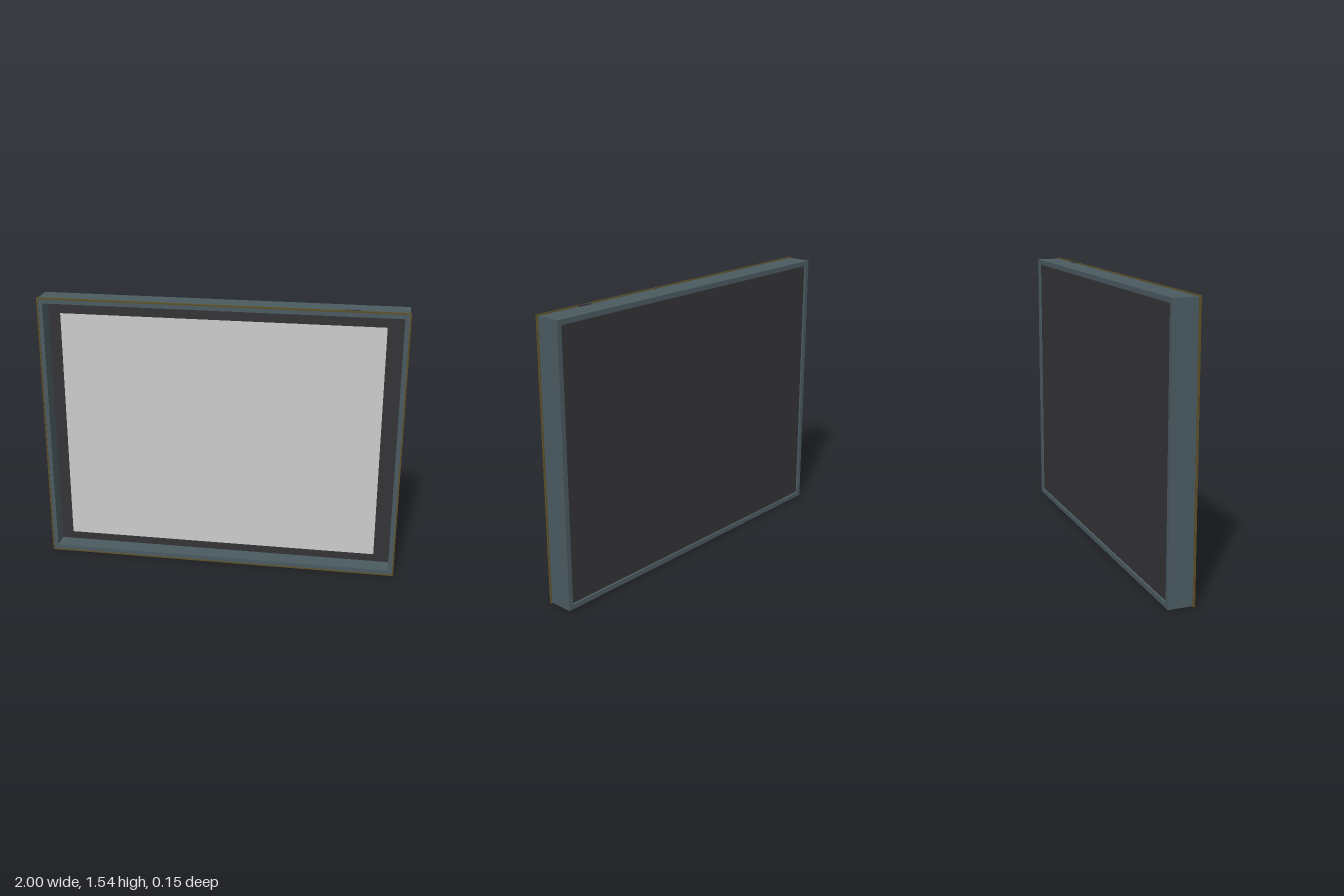
import * as THREE from 'three';

const W = 2, H = 1.537, CY = H / 2;

function material(color, side = THREE.FrontSide) {
  return new THREE.MeshStandardMaterial({ color, side });
}

function rectangle(target, w, h) {
  target.moveTo(-w / 2, -h / 2);
  target.lineTo(w / 2, -h / 2);
  target.lineTo(w / 2, h / 2);
  target.lineTo(-w / 2, h / 2);
  target.closePath();
  return target;
}

// Rectangular ring of the given border width, running from z0 to z1
function ring(w, h, border, z0, z1) {
  const shape = rectangle(new THREE.Shape(), w, h);
  shape.holes.push(rectangle(new THREE.Path(), w - 2 * border, h - 2 * border));
  const geometry = new THREE.ExtrudeGeometry(shape, { depth: z1 - z0, bevelEnabled: false });
  return geometry.translate(0, 0, z0);
}

export function createModel() {
  const group = new THREE.Group();
  const slate = material(0x4a5a60);
  const dark = material(0x343436);
  const olive = material(0x5c5028);

  function add(name, geometry, mat, x = 0, y = CY, z = 0) {
    const mesh = new THREE.Mesh(geometry, mat);
    mesh.name = name;
    mesh.position.set(x, y, z);
    group.add(mesh);
  }

  // Deep outer frame
  add('frame', ring(W - 0.008, H - 0.01, 0.027, -0.072, 0.071), slate);

  // Thin trim wrapped round the front edge
  add('frontTrim', ring(W, H, 0.008, 0.062, 0.074), olive);

  // Backing panel, slightly recessed at the rear
  add('backPanel', new THREE.BoxGeometry(W - 0.06, H - 0.06, 0.034), dark, 0, CY, -0.044);

  // Pale display sheet standing in front of the backing
  add('displaySheet', new THREE.PlaneGeometry(1.77, 1.34),
    material(0xcccccc, THREE.DoubleSide), -0.003, 0.77, 0.017);

  // Small catch on the top edge
  add('topCatch', new THREE.BoxGeometry(0.08, 0.01, 0.016), dark, 0.7, H - 0.0045, 0.06);

  return group;
}
